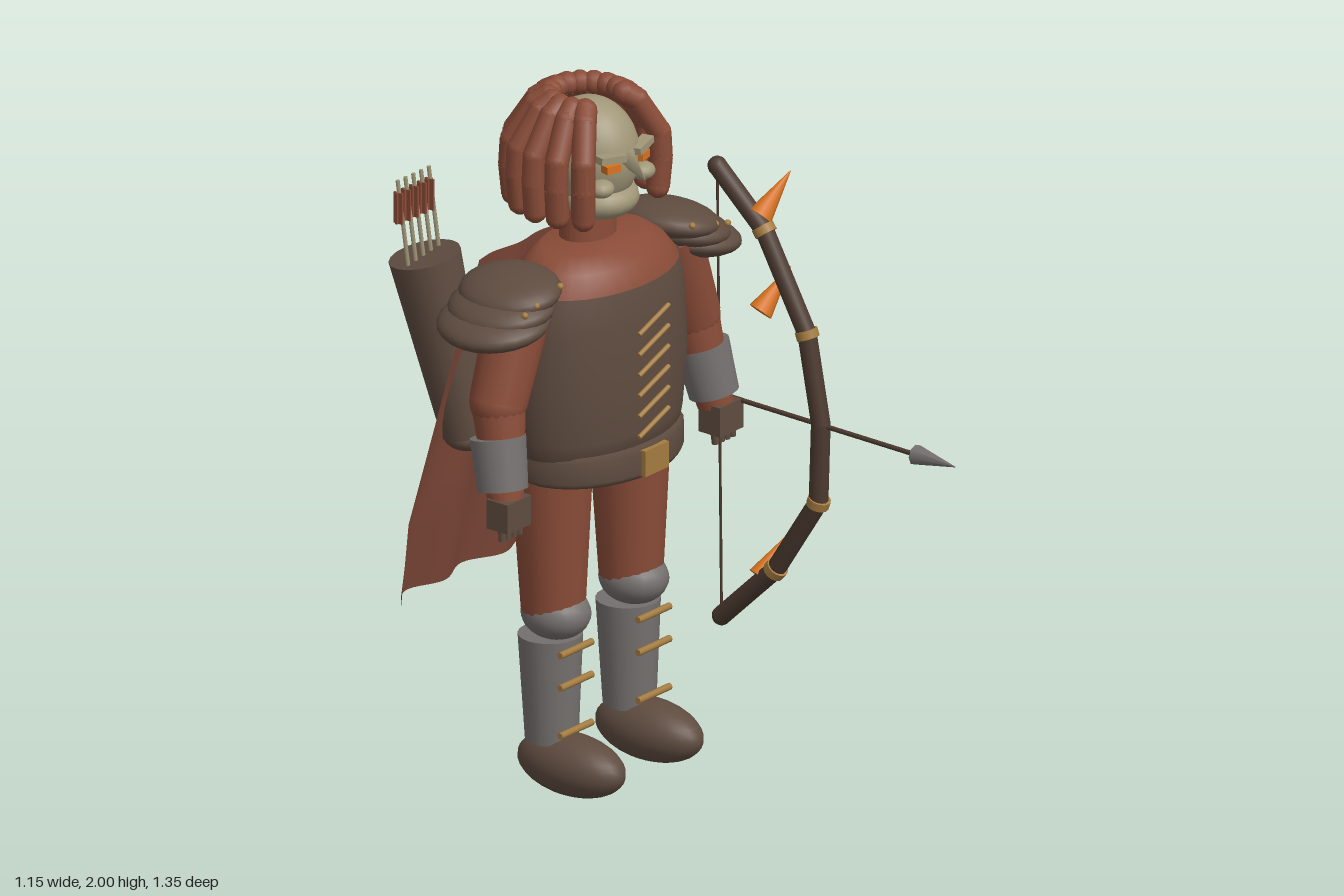
import * as THREE from 'three';

const paint = (name, color, side = THREE.FrontSide) => {
  const m = new THREE.MeshStandardMaterial({ color, side });
  m.name = name;
  return m;
};
const V = (p) => new THREE.Vector3(...p);

export function createModel() {
  const skin = paint('rust skin', 0x8a4c38);
  const cloth = paint('rust cloth', 0x824a3a, THREE.DoubleSide);
  const leather = paint('brown leather', 0x5f4c40);
  const bone = paint('pale bone', 0xa09678);
  const steel = paint('grey steel', 0x74706e);
  const gold = paint('dull gold', 0xa47c40);
  const orange = paint('bright orange', 0xd8731f);
  const wood = paint('dark wood', 0x4c3a30);

  const model = new THREE.Group();
  model.name = 'armouredArcher';
  const body = new THREE.Group();
  body.name = 'body';
  body.position.x = -0.035;
  model.add(body);

  const put = (parent, name, geometry, material, p = [0, 0, 0], rot = [0, 0, 0]) => {
    const mesh = new THREE.Mesh(geometry, material);
    mesh.name = name;
    mesh.position.set(...p);
    mesh.rotation.set(...rot);
    parent.add(mesh);
    return mesh;
  };
  // ellipsoid with radii r
  const ball = (parent, name, material, p, r, rot, seg = 20) => {
    const mesh = put(parent, name, new THREE.SphereGeometry(1, seg, Math.ceil(seg * 0.7)), material, p, rot);
    mesh.scale.set(...r);
    return mesh;
  };
  // tapered rod from a (radius ra) to b (radius rb)
  const rod = (parent, name, material, a, b, ra, rb = ra, seg = 14) => {
    const A = V(a), d = V(b).sub(A);
    const mesh = put(parent, name, new THREE.CylinderGeometry(rb, ra, d.length(), seg), material);
    mesh.position.copy(A).addScaledVector(d, 0.5);
    mesh.quaternion.setFromUnitVectors(new THREE.Vector3(0, 1, 0), d.normalize());
    return mesh;
  };
  // jointed chain of rods
  const chain = (parent, name, material, pts, r, seg = 10) => {
    const g = new THREE.Group();
    g.name = name;
    parent.add(g);
    pts.slice(1).forEach((p, i) => {
      rod(g, name + 'Segment', material, pts[i], p, r, r, seg);
      ball(g, name + 'Joint', material, p, [r, r, r], [0, 0, 0], seg);
    });
    ball(g, name + 'End', material, pts[0], [r, r, r], [0, 0, 0], seg);
    return g;
  };
  // elliptical turned shape
  const turned = (name, material, pts, z, depth) => {
    const geo = new THREE.LatheGeometry(pts.map((p) => new THREE.Vector2(...p)), 32);
    const mesh = put(body, name, geo, material, [0, 0, z]);
    mesh.scale.z = depth;
    return mesh;
  };

  // Torso, armour and belt
  turned('upperChest', skin, [[0.27, 1.3], [0.29, 1.42], [0.28, 1.475], [0.235, 1.53], [0.177, 1.57], [0, 1.575]], -0.185, 0.66);
  turned('chestArmour', leather, [[0, 0.95], [0.27, 0.95], [0.292, 1.05], [0.307, 1.2], [0.3, 1.37], [0.283, 1.475], [0.27, 1.475]], -0.18, 0.64);
  turned('belt', leather, [[0, 0.925], [0.272, 0.925], [0.282, 0.94], [0.282, 1.0], [0.272, 1.015], [0, 1.015]], -0.185, 0.74);
  turned('hips', skin, [[0, 0.905], [0.22, 0.905], [0.24, 0.95], [0, 0.96]], -0.19, 0.66);
  put(body, 'buckle', new THREE.BoxGeometry(0.1, 0.075, 0.03), gold, [0, 0.97, 0.018]);
  for (let i = 0; i < 6; i++) {
    const y = 1.375 - i * 0.06;
    rod(body, 'chestStitch', gold, [-0.063, y - 0.025, 0.022], [0.063, y + 0.025, 0.022], 0.007, 0.007, 8);
  }
  const neck = rod(body, 'neck', skin, [0, 1.53, -0.21], [0, 1.68, -0.21], 0.09, 0.085, 20);
  neck.scale.z = 0.8;

  // Head and face
  ball(body, 'skull', bone, [0, 1.81, -0.2], [0.125, 0.158, 0.14], [0, 0, 0], 28);
  ball(body, 'jaw', bone, [0, 1.69, -0.165], [0.108, 0.058, 0.105]);
  rod(body, 'nose', bone, [0, 1.825, -0.075], [0, 1.775, -0.008], 0.034, 0.002, 4);
  for (const s of [-1, 1]) {
    put(body, 'brow', new THREE.BoxGeometry(0.085, 0.02, 0.035), bone, [s * 0.065, 1.84, -0.075], [0, s * 0.25, s * 0.1]);
    put(body, 'eye', new THREE.BoxGeometry(0.045, 0.022, 0.03), orange, [s * 0.065, 1.812, -0.075], [0, s * 0.25, 0]);
    ball(body, 'cheek', bone, [s * 0.087, 1.755, -0.09], [0.037, 0.025, 0.035], [0, 0, 0], 14);
  }

  // Thick hair locks fanned around the back of the head
  for (let i = -6; i <= 6; i++) {
    const a = THREE.MathUtils.degToRad(i * 20.8);
    const at = (r, y) => [Math.sin(a) * r, y, -0.212 - Math.cos(a) * r * 1.07];
    chain(body, 'hairLock', skin, [at(0.1, 1.967), at(0.135, 1.945), at(0.196, 1.845), at(0.2, 1.77), at(0.192, 1.685)], 0.033);
  }

  for (const s of [-1, 1]) {
    // Legs
    const leg = new THREE.Group();
    leg.name = s > 0 ? 'leftLeg' : 'rightLeg';
    leg.position.x = s * 0.165;
    body.add(leg);
    rod(leg, 'thigh', skin, [0, 0.53, -0.195], [0, 0.94, -0.2], 0.088, 0.112, 20);
    ball(leg, 'kneeGuard', steel, [0, 0.52, -0.185], [0.091, 0.073, 0.1]);
    rod(leg, 'shinGuard', steel, [0, 0.15, -0.2], [0, 0.455, -0.205], 0.073, 0.089, 20);
    [0.43, 0.335, 0.195].forEach((y) =>
      rod(leg, 'shinStrap', gold, [-0.068, y, -0.115], [0.068, y, -0.115], 0.01, 0.01, 8));
    ball(leg, 'boot', leather, [0, 0.09, -0.13], [0.091, 0.086, 0.176], [0, 0, 0], 24);

    // Arms
    const arm = new THREE.Group();
    arm.name = s > 0 ? 'leftArm' : 'rightArm';
    body.add(arm);
    rod(arm, 'upperArm', skin, [s * 0.31, 1.48, -0.185], [s * 0.41, 1.21, -0.185], 0.09, 0.08, 18);
    ball(arm, 'elbow', skin, [s * 0.41, 1.21, -0.185], [0.079, 0.075, 0.079]);
    rod(arm, 'forearm', skin, [s * 0.41, 1.21, -0.185], [s * 0.445, 0.95, -0.13], 0.075, 0.05, 18);
    rod(arm, 'bracer', steel, [s * 0.448, 0.98, -0.138], [s * 0.432, 1.12, -0.168], 0.07, 0.077, 20);
    put(arm, 'hand', new THREE.BoxGeometry(0.1, 0.085, 0.075), leather, [s * 0.45, 0.92, -0.115]);
    for (let f = 0; f < 4; f++) {
      rod(arm, 'finger', leather, [s * (0.414 + f * 0.024), 0.89, -0.108], [s * (0.416 + f * 0.024), 0.848, -0.106], 0.012, 0.01, 8);
    }

    // Layered shoulder plates with studs
    for (let i = 0; i < 3; i++) {
      ball(arm, 'shoulderPlate', leather, [s * (0.335 + i * 0.035), 1.51 - i * 0.035, -0.205],
        [0.128 + i * 0.01, 0.052, 0.15 + i * 0.006], [0, 0, -s * 0.18], 24);
    }
    for (let i = 0; i < 4; i++) {
      ball(arm, 'plateStud', gold, [s * (0.28 + i * 0.05), 1.535 - i * 0.013, -0.075], [0.01, 0.01, 0.01], [0, 0, 0], 8);
    }
  }

  // Rippled cape
  const capeGeo = new THREE.PlaneGeometry(1, 1, 40, 16);
  const cp = capeGeo.attributes.position;
  for (let i = 0; i < cp.count; i++) {
    const u = cp.getX(i) * 2, t = 0.5 - cp.getY(i);
    const half = t < 0.75 ? 0.265 + 0.145 * t : 0.374 - 0.13 * (t - 0.75);
    const fold = Math.cos(u * 8.5) * (0.006 + 0.016 * t) - 0.035 * u * u * u * u * t;
    cp.setXYZ(i, u * half, 1.53 - 1.04 * t, -0.375 - 0.255 * t - fold);
  }
  capeGeo.computeVertexNormals();
  put(body, 'cape', capeGeo, cloth);

  // Quiver with five arrows
  rod(model, 'quiver', leather, [-0.21, 0.97, -0.49], [-0.28, 1.485, -0.58], 0.07, 0.1, 18);
  ball(model, 'quiverBase', leather, [-0.21, 0.97, -0.49], [0.07, 0.045, 0.07], [0.17, 0, 0.13]);
  for (let i = 0; i < 5; i++) {
    const x = -0.37 + i * 0.033;
    rod(model, 'quiverArrow', bone, [x + 0.025, 1.42, -0.575], [x, 1.725, -0.6], 0.006, 0.006, 6);
    put(model, 'fletching', new THREE.BoxGeometry(0.02, 0.09, 0.006), skin, [x, 1.645, -0.597]);
    put(model, 'fletching', new THREE.BoxGeometry(0.006, 0.09, 0.03), skin, [x, 1.645, -0.597]);
  }

  // Bow, bands, spikes and string
  const bx = 0.46;
  const bowPath = [[bx, 1.62, -0.165], [bx, 1.475, 0.0], [bx, 1.21, 0.15], [bx, 0.96, 0.198],
    [bx, 0.73, 0.19], [bx, 0.495, 0.04], [bx, 0.31, -0.15]];
  chain(model, 'bow', wood, bowPath, 0.027, 12);
  [[1, 0.04, -0.045], [2, 0.04, -0.02], [4, 0.04, 0.015], [5, 0.03, 0.03]].forEach(([i]) => {
    const p = V(bowPath[i]), d = V(bowPath[i + 1]).sub(V(bowPath[i - 1])).normalize().multiplyScalar(0.012);
    rod(model, 'bowBand', gold, p.clone().sub(d).toArray(), p.clone().add(d).toArray(), 0.032, 0.032, 14);
  });
  [1.51, 1.23, 0.455].forEach((y) =>
    rod(model, 'spike', orange, [0.465, y, -0.018], [0.56, y + 0.11, 0.01], 0.035, 0.001, 12));
  rod(model, 'bowString', wood, bowPath[0], bowPath[6], 0.004, 0.004, 6);

  // Nocked arrow
  rod(model, 'arrowShaft', wood, [bx, 0.957, -0.42], [bx, 0.957, 0.54], 0.007, 0.007, 8);
  rod(model, 'arrowHead', steel, [bx, 0.957, 0.53], [bx, 0.957, 0.67], 0.029, 0.001, 8);

  return model;
}
